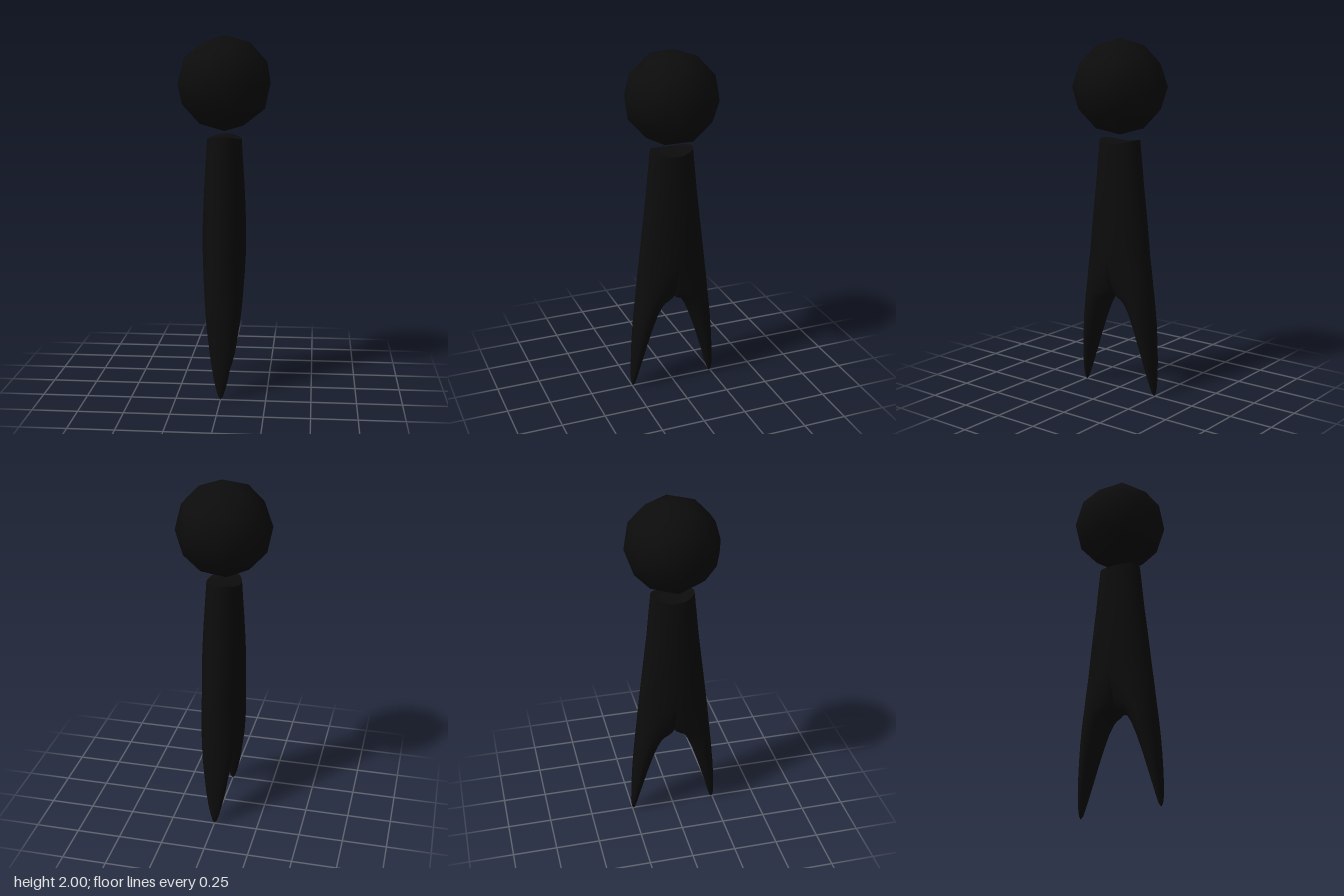
import * as THREE from 'three';
import { mergeVertices } from 'three/addons/utils/BufferGeometryUtils.js';

// Cross-sections of one half: y, outer z, centre z, inner z, half width, half width at the centre plane
const sections = [
  [0.003, 0.245, 0.244, 0.243, 0.001, 0],
  [0.02, 0.253, 0.243, 0.232, 0.013, 0],
  [0.06, 0.256, 0.239, 0.22, 0.026, 0],
  [0.12, 0.254, 0.23, 0.204, 0.041, 0],
  [0.2, 0.25, 0.216, 0.181, 0.056, 0],
  [0.3, 0.243, 0.197, 0.152, 0.071, 0],
  [0.4, 0.234, 0.176, 0.119, 0.085, 0],
  [0.48, 0.226, 0.155, 0.086, 0.093, 0],
  [0.53, 0.221, 0.138, 0.055, 0.098, 0],
  [0.552, 0.219, 0.128, 0.028, 0.1, 0],
  [0.56, 0.218, 0.125, 0, 0.101, 0],
  [0.575, 0.216, 0.118, 0, 0.102, 0.035],
  [0.61, 0.213, 0.1, 0, 0.106, 0.066],
  [0.66, 0.208, 0.075, 0, 0.111, 0.092],
  [0.72, 0.202, 0.04, 0, 0.116, 0.11],
  [0.79, 0.194, 0, 0, 0.122, 0.122],
  [0.95, 0.175, 0, 0, 0.122, 0.122],
  [1.1, 0.157, 0, 0, 0.116, 0.116],
  [1.2, 0.145, 0, 0, 0.111, 0.111],
  [1.32, 0.133, 0, 0, 0.103, 0.103],
  [1.43, 0.121, 0, 0, 0.096, 0.096],
];
const INNER = 6, OUTER = 18;

// Half loop: inner curve, outer half ellipse, inner curve back; the neck rim rises to front and back
function halfLoop([y, zo, zc, zi, rx, w0]) {
  const points = [];
  const lift = 0.02 * Math.max(0, (y - 1.2) / 0.23);
  const add = (x, z) => points.push([x, y + lift * (z / zo) ** 2, z]);
  const inner = (side, k) => {
    const b = (k / INNER) * Math.PI / 2;
    add(side * (w0 + (rx - w0) * Math.cos(b)), zc - (zc - zi) * Math.sin(b));
  };
  for (let k = INNER; k > 0; k--) inner(1, k);
  for (let k = 0; k <= OUTER; k++) {
    const a = (k / OUTER) * Math.PI;
    add(rx * Math.cos(a), zc + (zo - zc) * Math.sin(a));
  }
  for (let k = 1; k <= INNER; k++) inner(-1, k);
  return points;
}

function toGeometry(triangles) {
  const g = new THREE.BufferGeometry();
  g.setAttribute('position', new THREE.Float32BufferAttribute(triangles.flat(), 3));
  const merged = mergeVertices(g, 1e-4);
  merged.computeVertexNormals();
  return merged;
}

export function createModel() {
  const group = new THREE.Group();
  const black = new THREE.MeshStandardMaterial({ color: 0x0c0c0c });
  black.name = 'black';

  const add = (name, geometry) => {
    const mesh = new THREE.Mesh(geometry, black);
    mesh.name = name;
    group.add(mesh);
    return mesh;
  };

  // Head: subdivided icosahedron with a corner pointing up
  const headGeometry = new THREE.IcosahedronGeometry(0.2635, 1);
  headGeometry.rotateZ(-Math.atan2(1, (1 + Math.sqrt(5)) / 2));
  add('head', headGeometry).position.y = 1.7365;

  // Body flowing into two pointed legs, front and back halves
  const loops = sections.map(halfLoop);
  const body = [], cap = [];
  for (const s of [1, -1]) {
    const turn = ([x, y, z]) => [s * x, y, s * z];
    for (let i = 0; i < loops.length - 1; i++) {
      for (let j = 0; j < loops[i].length - 1; j++) {
        const [a, b, c, d] = [loops[i][j], loops[i][j + 1], loops[i + 1][j], loops[i + 1][j + 1]].map(turn);
        body.push(a, c, b, b, c, d);
      }
    }
    // Saddle-shaped neck top
    const rim = loops[loops.length - 1].map(turn);
    for (let j = 0; j < rim.length - 1; j++) cap.push([0, 1.432, 0], rim[j + 1], rim[j]);
  }
  add('bodyAndLegs', toGeometry(body));
  add('neckTop', toGeometry(cap));

  return group;
}
